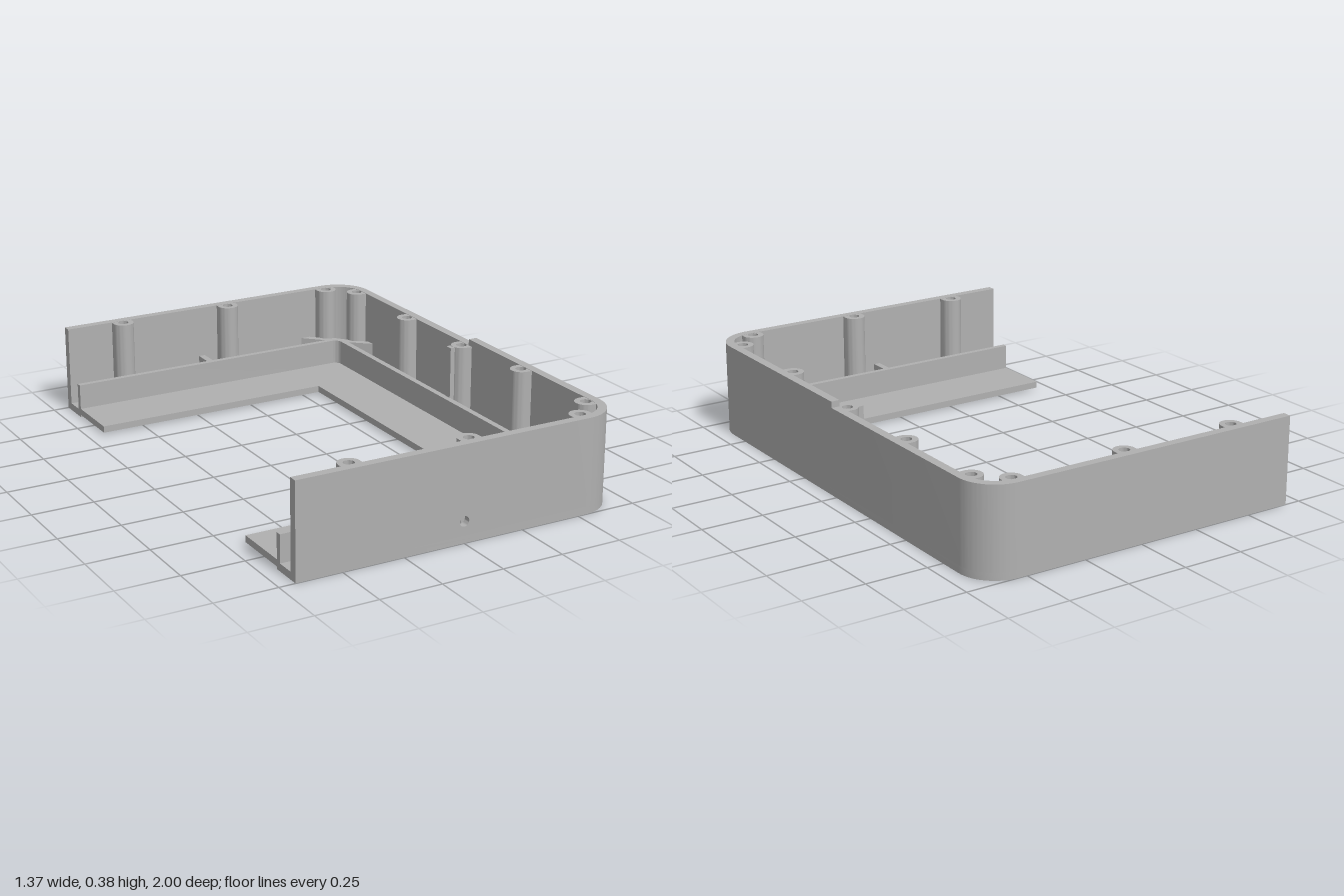
import * as THREE from 'three';
import { toCreasedNormals } from 'three/addons/utils/BufferGeometryUtils.js';

const END = -0.685, SIDE = 0.685, FRONT = 1, R = 0.15, T = 0.035;
const FLOOR = 0.03, RIB = 0.14, SPLIT = 0.02;
const HIGH = 0.38, LOW = 0.355;

export function createModel() {
  const model = new THREE.Group();
  model.name = 'enclosureHalf';
  const grey = new THREE.MeshStandardMaterial({ color: 0xb0b0b0 });
  grey.name = 'plain grey';

  const add = (name, geometry) => {
    const mesh = new THREE.Mesh(toCreasedNormals(geometry, 0.5), grey);
    mesh.name = name;
    model.add(mesh);
    return mesh;
  };

  // Extrude an (x, z) plan between two heights
  const plan = (name, shape, y0, y1) => {
    const g = new THREE.ExtrudeGeometry(shape, { depth: y1 - y0, bevelEnabled: false, curveSegments: 16 });
    g.rotateX(Math.PI / 2).translate(0, y1, 0);
    return add(name, g);
  };
  const poly = (pts) => new THREE.Shape(pts.map(([x, z]) => new THREE.Vector2(x, z)));

  const box = (name, x0, x1, y0, y1, z0, z1) => {
    const g = new THREE.BoxGeometry(x1 - x0, y1 - y0, z1 - z0);
    add(name, g.translate((x0 + x1) / 2, (y0 + y1) / 2, (z0 + z1) / 2));
  };

  // Corner points of a rounded bend, walking from the back arm to the front arm
  const bend = (x, z, r) => {
    const pts = [];
    for (const s of [-1, 1]) {
      const n = r > 0 ? 16 : 0;
      for (let i = 0; i <= n; i++) {
        const t = n ? (i / n) * Math.PI / 2 : 0;
        const a = s < 0 ? Math.PI / 2 - t : t;
        pts.push([x - r + r * Math.cos(a), s * (z - r + r * Math.sin(a))]);
      }
    }
    return [[END, -z], ...pts, [END, z]];
  };
  const uShape = (xo, zo, ro, xi, zi, ri) => poly([...bend(xo, zo, ro), ...bend(xi, zi, ri).reverse()]);

  // Floor channel, inner rib and the slightly raised inner flange
  plan('floor', uShape(SIDE, FRONT, R, 0.545, 0.865, 0.03), 0, FLOOR);
  plan('flange', uShape(0.545, 0.865, 0.03, 0.315, 0.628, 0), 0.01, 0.037);
  plan('innerRib', uShape(0.57, 0.888, 0.05, 0.545, 0.865, 0.03), FLOOR, RIB);

  // Outer wall: one side and corner per half, with a step in height between them
  const wallHalf = (s, z0, xEnd) => {
    const sh = new THREE.Shape();
    const c = SIDE - R, a = s * Math.PI / 2, cz = s * (FRONT - R);
    sh.moveTo(SIDE, z0);
    sh.lineTo(SIDE, cz);
    sh.absarc(c, cz, R, 0, a, s < 0);
    sh.lineTo(xEnd, s * FRONT);
    sh.lineTo(xEnd, s * (FRONT - T));
    sh.lineTo(c, s * (FRONT - T));
    sh.absarc(c, cz, R - T, a, 0, s > 0);
    sh.lineTo(SIDE - T, z0);
    return sh;
  };
  plan('backWall', wallHalf(-1, SPLIT, END), FLOOR, LOW);
  plan('frontCornerWall', wallHalf(1, SPLIT, 0.4), FLOOR, HIGH);

  // Front wall plate with a small round port
  const plate = poly([[END, FLOOR], [0.4, FLOOR], [0.4, HIGH], [END, HIGH]]);
  const port = new THREE.Path();
  port.absarc(0, 0.085, 0.02, 0, Math.PI * 2, true);
  plate.holes.push(port);
  const plateGeo = new THREE.ExtrudeGeometry(plate, { depth: T, bevelEnabled: false, curveSegments: 16 });
  add('frontWall', plateGeo.translate(0, 0, FRONT - T));

  // Screw bosses: D-shaped posts with a blind hole, their flat side against the wall
  const boss = (x, z, angle, top) => {
    const r = 0.043, reach = 0.026;
    const sh = new THREE.Shape();
    sh.moveTo(reach, -r);
    sh.lineTo(reach, r);
    sh.lineTo(0, r);
    sh.absarc(0, 0, r, Math.PI / 2, Math.PI * 1.5, false);
    const hole = new THREE.Path();
    hole.absarc(0, 0, 0.021, 0, Math.PI * 2, true);
    sh.holes.push(hole);
    const mesh = plan('screwBoss', sh, FLOOR, top - 0.001);
    mesh.rotation.y = angle;
    mesh.position.set(x, 0, z);
  };
  for (const s of [-1, 1]) {
    const top = s > 0 ? HIGH : LOW;
    for (const x of [-0.445, 0.045, 0.53]) boss(x, s * 0.945, -s * Math.PI / 2, top);
    for (const z of [0.845, 0.422]) boss(0.628, s * z, 0, top);

    // Cross web in each arm and diagonal braces at each corner
    const zs = [s * 0.888, s * 0.966].sort((a, b) => a - b);
    box('crossWeb', -0.087, -0.06, FLOOR, RIB, zs[0], zs[1]);
    const mirror = (pts) => poly(pts.map(([x, z]) => [x, s * z]));
    plan('cornerBrace', mirror([[0.415, 0.967], [0.495, 0.887], [0.535, 0.887], [0.455, 0.967]]), FLOOR, RIB);
    plan('cornerBrace', mirror([[0.652, 0.738], [0.569, 0.812], [0.569, 0.85], [0.652, 0.776]]), FLOOR, RIB);
    plan('cornerGusset', mirror([[0.52, 0.886], [0.569, 0.83], [0.585, 0.845], [0.54, 0.9]]), FLOOR, RIB);
  }
  boss(0.628, 0, 0, LOW);

  // Full-height web where the two wall heights meet
  box('middleWeb', 0.568, 0.605, FLOOR, LOW - 0.002, -0.018, 0.014);
  return model;
}
